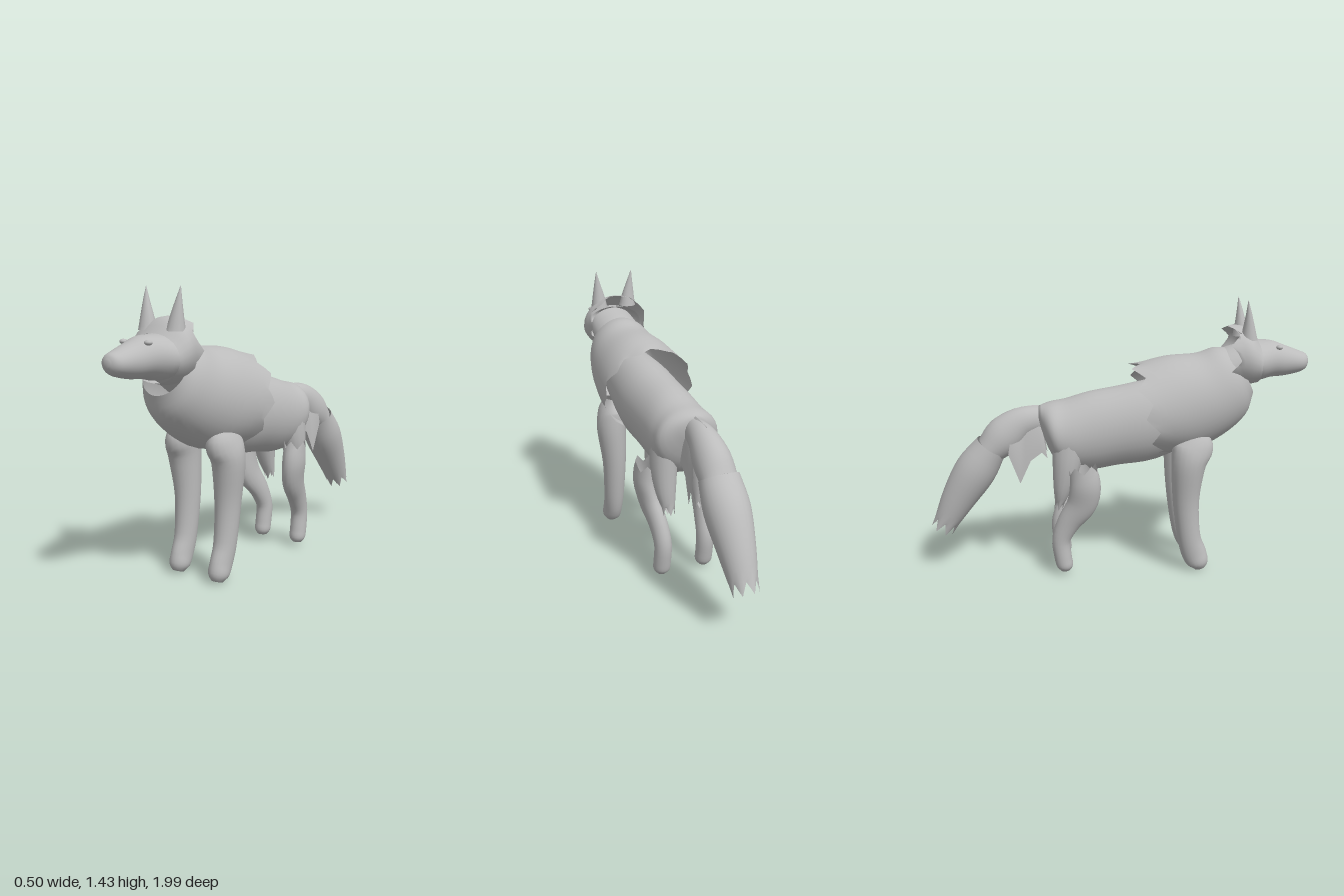
import * as THREE from 'three';

const fur = new THREE.MeshStandardMaterial({ color: 0xbcbcbc, side: THREE.DoubleSide });
fur.name = 'grey fur';

function surface(name, positions, index) {
  const geometry = new THREE.BufferGeometry();
  geometry.setAttribute('position', new THREE.Float32BufferAttribute(positions, 3));
  geometry.setIndex(index);
  geometry.computeVertexNormals();
  const mesh = new THREE.Mesh(geometry, fur);
  mesh.name = name;
  return mesh;
}

// Smooth skin over elliptical sections [x, y, z, halfWidth, halfHeight, lean].
// lean moves the top of an upright ring back and its bottom forward.
// rag gives the last ring a torn fur edge, ragStart the first one.
function loft(name, sections, { upright = false, rag = 0, ragStart = 0, cap = false, sides = 28 } = {}) {
  const spline = pts => new THREE.CatmullRomCurve3(pts, false, 'catmullrom', 0.5);
  const path = spline(sections.map(s => new THREE.Vector3(s[0], s[1], s[2])));
  const size = spline(sections.map(s => new THREE.Vector3(s[3], s[4], s[5] || 0)));
  const rows = (sections.length - 1) * 4;
  const pos = [], index = [];
  for (let i = 0; i <= rows; i++) {
    const c = path.getPoint(i / rows), r = size.getPoint(i / rows);
    const t = path.getTangent(i / rows).setX(0).normalize();
    if (upright) t.set(0, 0, Math.sign(t.z));
    for (let j = 0; j < sides; j++) {
      const a = (j / sides) * Math.PI * 2;
      const up = Math.sin(a) * r.y;
      const tooth = Math.abs((j % 4) - 2) / 2 - 0.5;
      const push = tooth * (i === rows ? rag : i === 0 ? -ragStart : 0);
      pos.push(c.x + Math.cos(a) * r.x,
        c.y + up * t.z + push * t.y,
        c.z - up * t.y + push * t.z - Math.sin(a) * r.z * t.z);
    }
  }
  for (let i = 0; i < rows; i++) for (let j = 0; j < sides; j++) {
    const k = (j + 1) % sides, a = i * sides + j, b = i * sides + k;
    index.push(a, b, b + sides, a, b + sides, a + sides);
  }
  if (cap) {
    const end = path.getPoint(1), base = rows * sides;
    pos.push(end.x, end.y, end.z);
    for (let j = 0; j < sides; j++) index.push(base + j, base + (j + 1) % sides, base + sides);
  }
  return surface(name, pos, index);
}

// Sheet of fur hanging beside the tail root, with a jagged hem
function hangingFur(side) {
  const hem = [0.63, 0.66, 0.64, 0.62, 0.56, 0.5, 0.58, 0.66];
  const n = hem.length, rows = 8, pos = [], index = [];
  for (let i = 0; i <= rows; i++) for (let j = 0; j < n; j++) {
    const v = i / rows, u = j / (n - 1);
    pos.push(side * (0.06 + 0.025 * u) * Math.sqrt(Math.sin(v * Math.PI / 2)),
      THREE.MathUtils.lerp(0.9 - 0.015 * u * u, hem[j], v),
      -0.41 - 0.12 * u + v * (0.04 - 0.08 * u));
  }
  for (let i = 0; i < rows; i++) for (let j = 0; j < n - 1; j++) {
    const a = i * n + j, b = a + n;
    if (side > 0) index.push(a, a + 1, b, b, a + 1, b + 1);
    else index.push(a, b, a + 1, b, b + 1, a + 1);
  }
  return surface('tailRootFur', pos, index);
}

export function createModel() {
  const model = new THREE.Group();
  model.name = 'wolf';

  // Trunk and neck
  model.add(loft('body', [
    [0, 0.88, 0.45, 0.14, 0.17], [0, 0.815, 0.2, 0.165, 0.215], [0, 0.782, 0, 0.165, 0.21],
    [0, 0.757, -0.15, 0.165, 0.208], [0, 0.745, -0.27, 0.167, 0.185], [0, 0.78, -0.35, 0.155, 0.135],
    [0, 0.85, -0.41, 0.05, 0.045]], { upright: true, cap: true }));
  model.add(loft('neck', [
    [0, 0.99, 0.42, 0.14, 0.13], [0, 1.05, 0.54, 0.14, 0.13], [0, 1.12, 0.68, 0.13, 0.1]],
    { upright: true }));

  // Shaggy mane, open at the back
  model.add(loft('mane', [
    [0, 1.065, 0.64, 0.13, 0.12, 0.07], [0, 1.01, 0.585, 0.17, 0.175, 0.09],
    [0, 0.945, 0.485, 0.2, 0.212, 0.08], [0, 0.9, 0.33, 0.225, 0.245, 0.08],
    [0, 0.87, 0.15, 0.248, 0.235, 0.06]], { upright: true, rag: 0.055, sides: 40 }));

  // Head with fur hood
  model.add(loft('head', [
    [0, 1.13, 0.66, 0.165, 0.1], [0, 1.12, 0.72, 0.16, 0.105], [0, 1.125, 0.8, 0.115, 0.095],
    [0, 1.115, 0.87, 0.088, 0.08], [0, 1.108, 0.95, 0.066, 0.057], [0, 1.11, 0.985, 0.045, 0.04],
    [0, 1.11, 1, 0.015, 0.015]], { upright: true, cap: true }));
  model.add(loft('hood', [
    [0, 1.115, 0.72, 0.162, 0.112], [0, 1.14, 0.66, 0.177, 0.15], [0, 1.147, 0.59, 0.165, 0.157]],
    { upright: true, rag: 0.06 }));

  // Tail in two overlapping tufts
  model.add(loft('tailRoot', [
    [0, 0.825, -0.4, 0.05, 0.068], [0, 0.805, -0.5, 0.072, 0.085],
    [0, 0.74, -0.59, 0.09, 0.102], [0, 0.67, -0.665, 0.09, 0.08]]));
  model.add(loft('tailBrush', [
    [0, 0.685, -0.66, 0.1, 0.085], [0, 0.56, -0.745, 0.11, 0.108],
    [0, 0.41, -0.84, 0.09, 0.09], [0, 0.255, -0.925, 0.064, 0.06]], { rag: 0.06 }));

  for (const s of [1, -1]) {
    model.add(loft('ear', [
      [s * 0.085, 1.235, 0.66, 0.047, 0.045], [s * 0.09, 1.3, 0.657, 0.034, 0.03],
      [s * 0.098, 1.37, 0.652, 0.017, 0.015], [s * 0.105, 1.435, 0.645, 0.001, 0.001]],
      { sides: 12 }));

    const eye = new THREE.Mesh(new THREE.SphereGeometry(1, 12, 8), fur);
    eye.name = 'eye';
    eye.scale.set(0.02, 0.012, 0.018);
    eye.position.set(s * 0.075, 1.193, 0.825);
    model.add(eye);

    model.add(loft('frontLeg', [
      [s * 0.13, 0.775, 0.385, 0.03, 0.06], [s * 0.13, 0.7, 0.38, 0.072, 0.108],
      [s * 0.14, 0.6, 0.357, 0.08, 0.09], [s * 0.13, 0.4, 0.35, 0.065, 0.07],
      [s * 0.128, 0.2, 0.37, 0.056, 0.062], [s * 0.127, 0.1, 0.4, 0.051, 0.066],
      [s * 0.127, 0.045, 0.425, 0.05, 0.056], [s * 0.127, 0.012, 0.435, 0.028, 0.03]],
      { cap: true, sides: 20 }));

    model.add(loft('hindLeg', [
      [s * 0.165, 0.6, -0.19, 0.052, 0.07], [s * 0.165, 0.5, -0.18, 0.055, 0.08],
      [s * 0.15, 0.4, -0.2, 0.05, 0.078], [s * 0.13, 0.3, -0.265, 0.047, 0.062],
      [s * 0.12, 0.2, -0.307, 0.045, 0.049], [s * 0.12, 0.1, -0.3, 0.045, 0.046],
      [s * 0.12, 0.05, -0.29, 0.043, 0.043], [s * 0.12, 0.024, -0.287, 0.025, 0.025]],
      { cap: true, ragStart: 0.04, sides: 20 }));

    // Broad thigh fur running down from the rump to a ragged hem
    model.add(loft('thighFur', [
      [s * 0.09, 0.78, -0.255, 0.07, 0.09], [s * 0.1, 0.62, -0.27, 0.068, 0.075],
      [s * 0.1, 0.48, -0.295, 0.052, 0.048], [s * 0.09, 0.38, -0.315, 0.03, 0.02]],
      { rag: 0.05, sides: 16 }));

    model.add(hangingFur(s));
  }
  return model;
}
